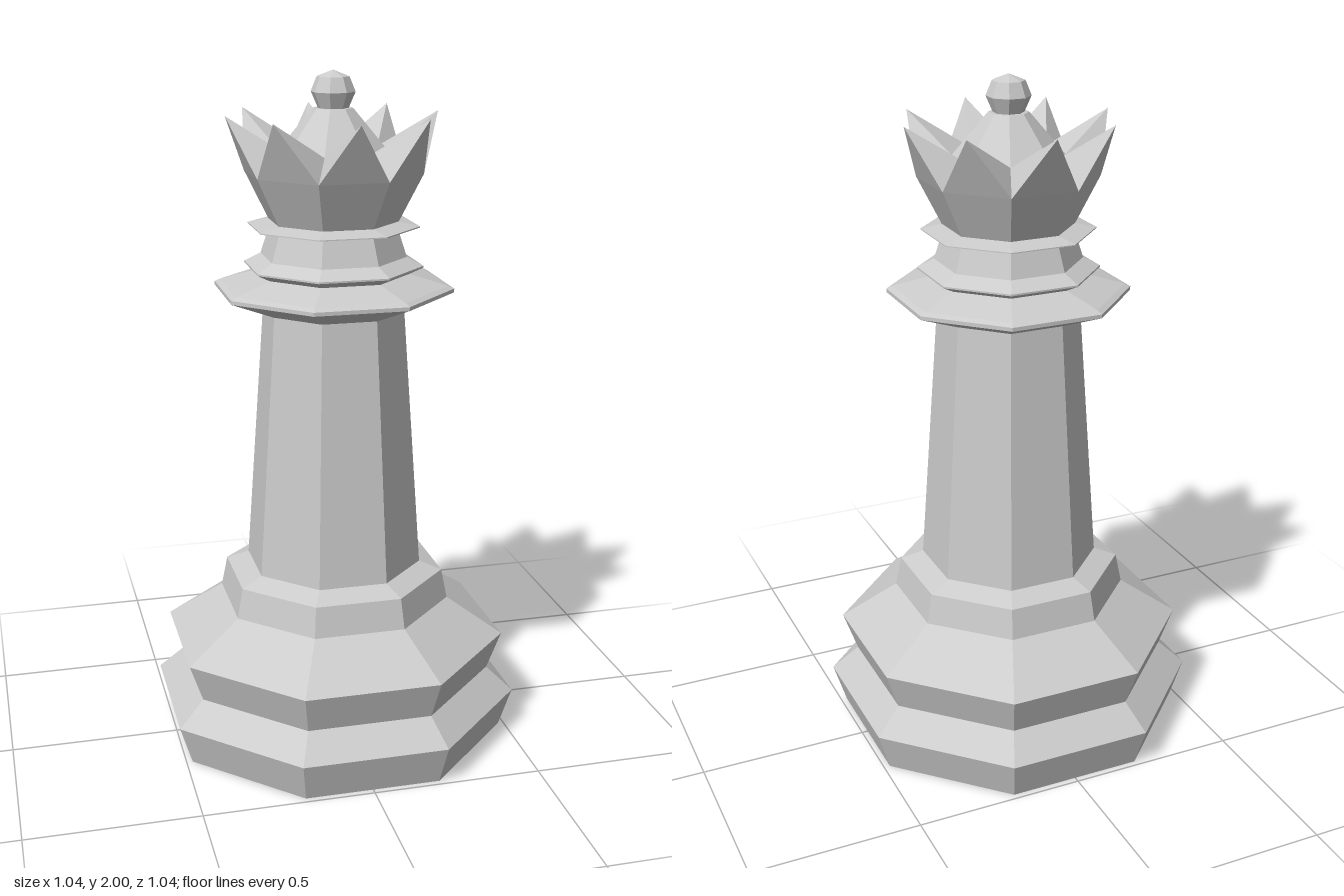
import * as THREE from 'three';

const SIDES = 8;
const STEP = (Math.PI * 2) / SIDES;
const FLAT = Math.cos(STEP / 2); // apothem / radius of an octagon

export function createModel() {
  const group = new THREE.Group();
  const material = new THREE.MeshStandardMaterial({ color: 0xcccccc, flatShading: true });

  const add = (name, geometry) => {
    const mesh = new THREE.Mesh(geometry, material);
    mesh.name = name;
    group.add(mesh);
  };

  // Octagonal turned part; profile is [half width across flats, height], bottom to top
  const turned = (name, profile) => {
    const points = profile.map(([w, y]) => new THREE.Vector2(w / FLAT, y));
    const geometry = new THREE.LatheGeometry(points, SIDES, STEP / 2).toNonIndexed();
    geometry.computeVertexNormals();
    add(name, geometry);
  };

  turned('base', [
    [0, 0], [0.482, 0], [0.518, 0.12], [0.443, 0.193], [0.482, 0.31],
    [0.325, 0.42], [0.308, 0.51], [0.245, 0.535], [0, 0.535],
  ]);
  turned('column', [[0.245, 0.535], [0.193, 1.32]]);
  turned('collar', [
    [0, 1.318], [0.195, 1.318], [0.326, 1.375], [0.326, 1.386], [0.31, 1.394], [0.205, 1.425], [0, 1.425],
  ]);
  turned('upperRing', [[0.205, 1.425], [0.243, 1.445], [0.243, 1.45], [0.198, 1.475]]);
  turned('neck', [[0.198, 1.475], [0.175, 1.55]]);
  turned('thinRing', [[0.175, 1.55], [0.232, 1.561], [0.232, 1.564], [0.175, 1.577], [0, 1.577]]);

  // Crown: outer wall rising to eight points, with tops sloping in to the dome
  const at = (r, y, angle) => [r * Math.sin(angle), y, r * Math.cos(angle)];
  const corners = [];
  for (let i = 0; i < SIDES; i++) {
    const mid = i * STEP, a = mid - STEP / 2, b = mid + STEP / 2;
    const tip = at(0.31, 1.88, mid);
    const [baseA, baseB] = [a, b].map((t) => at(0.19, 1.577, t));
    const [valleyA, valleyB] = [a, b].map((t) => at(0.26, 1.715, t));
    const [innerA, innerB] = [a, b].map((t) => at(0.159, 1.775, t));
    corners.push(
      baseA, baseB, valleyB, baseA, valleyB, valleyA, // wall
      valleyA, valleyB, tip, // point
      tip, innerB, innerA, // inward slope
      tip, valleyB, innerB, tip, innerA, valleyA, // sides of the point
    );
  }
  const crown = new THREE.BufferGeometry();
  crown.setAttribute('position', new THREE.Float32BufferAttribute(corners.flat(), 3));
  crown.computeVertexNormals();
  add('crown', crown);

  turned('dome', [[0.147, 1.775], [0.053, 1.895], [0, 1.895]]);
  turned('finial', [[0.04, 1.893], [0.059, 1.94], [0.043, 1.982], [0, 2]]);

  return group;
}
